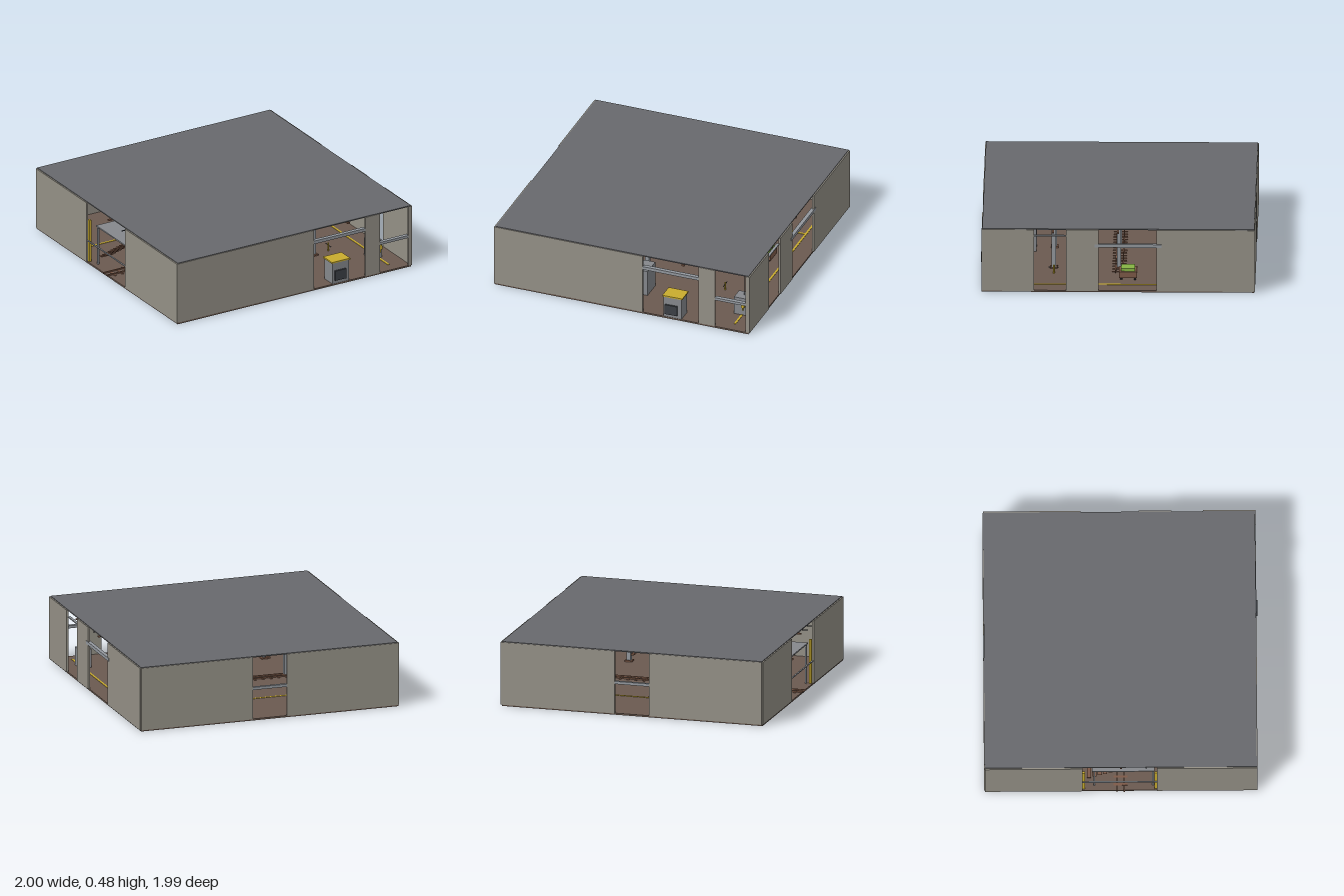
import * as THREE from 'three';

const mats = {};
const mat = (color) => (mats[color] ??= new THREE.MeshStandardMaterial({ color, flatShading: true }));
const WALL = 0x949086, ROOF = 0x68696d, FLOOR = 0x6b5a50, STEEL = 0x92979d, BROWN = 0x7d5a48,
  DARK = 0x3c4046, YELLOW = 0xc9ac2e, GREY = 0x85888c, GLASS = 0xa6d8dc, GREEN = 0x86b544;

export function createModel() {
  const root = new THREE.Group();
  root.name = 'industrialHall';

  // Box given by its minimum and maximum on each axis
  const box = (name, x0, x1, y0, y1, z0, z1, color, parent = root) => {
    const m = new THREE.Mesh(new THREE.BoxGeometry(x1 - x0, y1 - y0, z1 - z0), mat(color));
    m.position.set((x0 + x1) / 2, (y0 + y1) / 2, (z0 + z1) / 2);
    m.name = name;
    parent.add(m);
    return m;
  };
  // Round bar between two points
  const bar = (name, a, b, r, color, parent = root) => {
    const p = new THREE.Vector3(...a), d = new THREE.Vector3(...b).sub(p);
    const m = new THREE.Mesh(new THREE.CylinderGeometry(r, r, d.length(), 8), mat(color));
    m.position.copy(p).addScaledVector(d, 0.5);
    m.quaternion.setFromUnitVectors(new THREE.Vector3(0, 1, 0), d.normalize());
    m.name = name;
    parent.add(m);
  };
  const group = (name) => {
    const g = new THREE.Group();
    g.name = name;
    root.add(g);
    return g;
  };

  // Floor and roof slabs
  box('floor', -0.985, 0.985, 0, 0.012, -0.985, 0.985, FLOOR);
  box('roof', -0.98, 0.985, 0.473, 0.481, -0.985, 0.98, ROOF);

  // Walls as runs of panels with full-height doorways between them
  const walls = group('walls');
  for (const [a, b] of [[-0.98, 0.165], [0.6, 0.725], [0.965, 0.985]]) box('frontWall', a, b, 0.01, 0.476, 0.97, 0.985, WALL, walls);
  for (const [a, b] of [[-0.98, -0.13], [0.13, 0.985]]) box('backWall', a, b, 0.01, 0.476, -0.99, -0.975, WALL, walls);
  for (const [a, b] of [[-0.985, -0.28], [0.14, 0.375], [0.605, 0.985]]) box('leftWall', 0.98, 0.995, 0.01, 0.476, a, b, WALL, walls);
  for (const [a, b] of [[-0.985, -0.28], [0.26, 0.985]]) box('rightWall', -0.99, -0.975, 0.01, 0.476, a, b, WALL, walls);

  // Lintel beams across the doorways
  const lintels = group('lintels');
  box('wideFrontLintel', 0.165, 0.6, 0.366, 0.39, 0.955, 0.985, STEEL, lintels);
  box('narrowFrontLintel', 0.725, 0.965, 0.23, 0.25, 0.955, 0.985, STEEL, lintels);
  box('backLintel', -0.13, 0.13, 0.23, 0.25, -0.99, -0.965, STEEL, lintels);
  box('wideSideLintel', 0.97, 0.998, 0.343, 0.367, -0.315, 0.17, STEEL, lintels);
  box('narrowSideLintel', 0.965, 0.985, 0.421, 0.429, 0.375, 0.605, STEEL, lintels);
  box('rightDoorRail', -0.985, -0.975, 0.172, 0.179, -0.28, 0.26, STEEL, lintels);
  for (const z of [-0.27, 0.25]) box('yellowDoorPost', -0.975, -0.96, 0.012, 0.34, z - 0.01, z + 0.01, YELLOW, lintels);

  // Grid of steel columns with base plates and roof beams
  const frame = group('steelFrame');
  for (const x of [-0.47, 0, 0.47]) {
    for (const z of [-0.47, 0, 0.47]) {
      box('column', x - 0.015, x + 0.015, 0.012, 0.473, z - 0.015, z + 0.015, STEEL, frame);
      box('columnBase', x - 0.028, x + 0.028, 0.012, 0.022, z - 0.028, z + 0.028, BROWN, frame);
    }
    box('roofBeam', x - 0.01, x + 0.01, 0.45, 0.462, -0.975, 0.97, BROWN, frame);
  }
  for (const z of [-0.47, 0, 0.47]) box('crossBeam', -0.975, 0.97, 0.438, 0.448, z - 0.008, z + 0.008, BROWN, frame);
  for (const z of [0.18, 0.3]) bar('ceilingPipe', [-0.97, 0.425, z], [0.94, 0.425, z], 0.004, DARK, frame);

  // Hanging light panels
  for (const x of [-0.38, 0.38]) {
    for (const z of [-0.62, -0.02, 0.6]) {
      const g = group('hangingLight');
      box('lightPanel', x - 0.08, x + 0.08, 0.395, 0.403, z - 0.13, z + 0.13, GLASS, g);
      for (const s of [-1, 1]) bar('hanger', [x, 0.4, z + s * 0.1], [x, 0.475, z + s * 0.1], 0.002, DARK, g);
    }
  }

  // Rail track leaving through the right doorway
  const track = group('track');
  for (const z of [-0.03, 0.022]) box('rail', -1.0, 0.6, 0.014, 0.024, z - 0.004, z + 0.004, BROWN, track);
  for (let x = -0.94; x < 0.6; x += 0.06) box('sleeper', x - 0.008, x + 0.008, 0.011, 0.016, -0.055, 0.047, BROWN, track);

  // Yellow walkway lines on the floor
  box('sideFloorLine', 0.84, 0.855, 0.012, 0.015, -0.9, 0.9, YELLOW);
  box('backFloorLine', -0.9, 0.84, 0.012, 0.015, -0.5, -0.485, YELLOW);

  // Loaded cart
  const cart = group('cart');
  box('cartBody', 0.63, 0.765, 0.034, 0.08, -0.135, -0.005, BROWN, cart);
  box('cartLoad', 0.645, 0.75, 0.08, 0.1, -0.12, -0.02, GREEN, cart);
  for (const x of [0.655, 0.74]) for (const z of [-0.12, -0.02]) bar('wheel', [x, 0.026, z - 0.008], [x, 0.026, z + 0.008], 0.014, DARK, cart);

  // Raised platform and staircase descending to the back
  const stair = group('staircase');
  box('platform', -0.95, -0.62, 0.305, 0.315, -0.21, 0.24, GREY, stair);
  for (const x of [-0.94, -0.63]) for (const z of [-0.195, 0.23]) box('platformPost', x - 0.006, x + 0.006, 0.012, 0.305, z - 0.006, z + 0.006, STEEL, stair);
  box('platformCrate', -0.8, -0.74, 0.315, 0.345, 0.07, 0.11, DARK, stair);
  for (let i = 0; i < 10; i++) {
    const z = 0.115 - i * 0.0385, y = 0.288 - i * 0.0265;
    box('tread', -0.9, -0.8, y - 0.003, y, z - 0.015, z + 0.015, BROWN, stair);
    box('riser', -0.9, -0.8, y, y + 0.008, z + 0.012, z + 0.015, BROWN, stair);
  }

  // Control console at the wide front doorway
  const console_ = group('console');
  box('consoleBody', 0.325, 0.465, 0.012, 0.175, 0.87, 0.982, GREY, console_);
  box('consoleTop', 0.318, 0.472, 0.175, 0.185, 0.862, 0.986, YELLOW, console_);
  box('screen', 0.34, 0.435, 0.038, 0.115, 0.982, 0.995, DARK, console_);

  // Storage cabinet and hoist behind the wide doorway
  box('cabinet', -0.05, 0.11, 0.012, 0.21, 0.6, 0.75, GREY);
  const hoist = group('hoist');
  box('trolley', 0.21, 0.26, 0.45, 0.465, 0.67, 0.72, STEEL, hoist);
  bar('hoistRod', [0.235, 0.35, 0.695], [0.235, 0.455, 0.695], 0.003, DARK, hoist);
  box('hook', 0.228, 0.242, 0.335, 0.365, 0.688, 0.702, BROWN, hoist);
  box('hoistPendant', 0.167, 0.177, 0.31, 0.365, 0.69, 0.7, DARK, hoist);
  box('hoistRail', 0.0, 0.6, 0.444, 0.451, 0.69, 0.7, STEEL, hoist);

  // Power unit with mast lamp behind the narrow doorway
  const unit = group('powerUnit');
  box('unitBody', 0.785, 0.875, 0.012, 0.15, 0.66, 0.76, GREY, unit);
  box('switchBox', 0.845, 0.87, 0.08, 0.112, 0.76, 0.775, YELLOW, unit);
  box('switchLever', 0.85, 0.86, 0.055, 0.08, 0.76, 0.77, YELLOW, unit);
  bar('mast', [0.845, 0.15, 0.71], [0.845, 0.43, 0.71], 0.003, DARK, unit);
  box('mastLamp', 0.83, 0.875, 0.428, 0.442, 0.69, 0.73, GLASS, unit);

  // Yellow valve stand
  const valve = group('valveStand');
  bar('valveStem', [0.6, 0.012, 0.467], [0.6, 0.075, 0.467], 0.006, YELLOW, valve);
  bar('valveHandle', [0.6, 0.058, 0.43], [0.6, 0.058, 0.505], 0.003, DARK, valve);

  return root;
}
